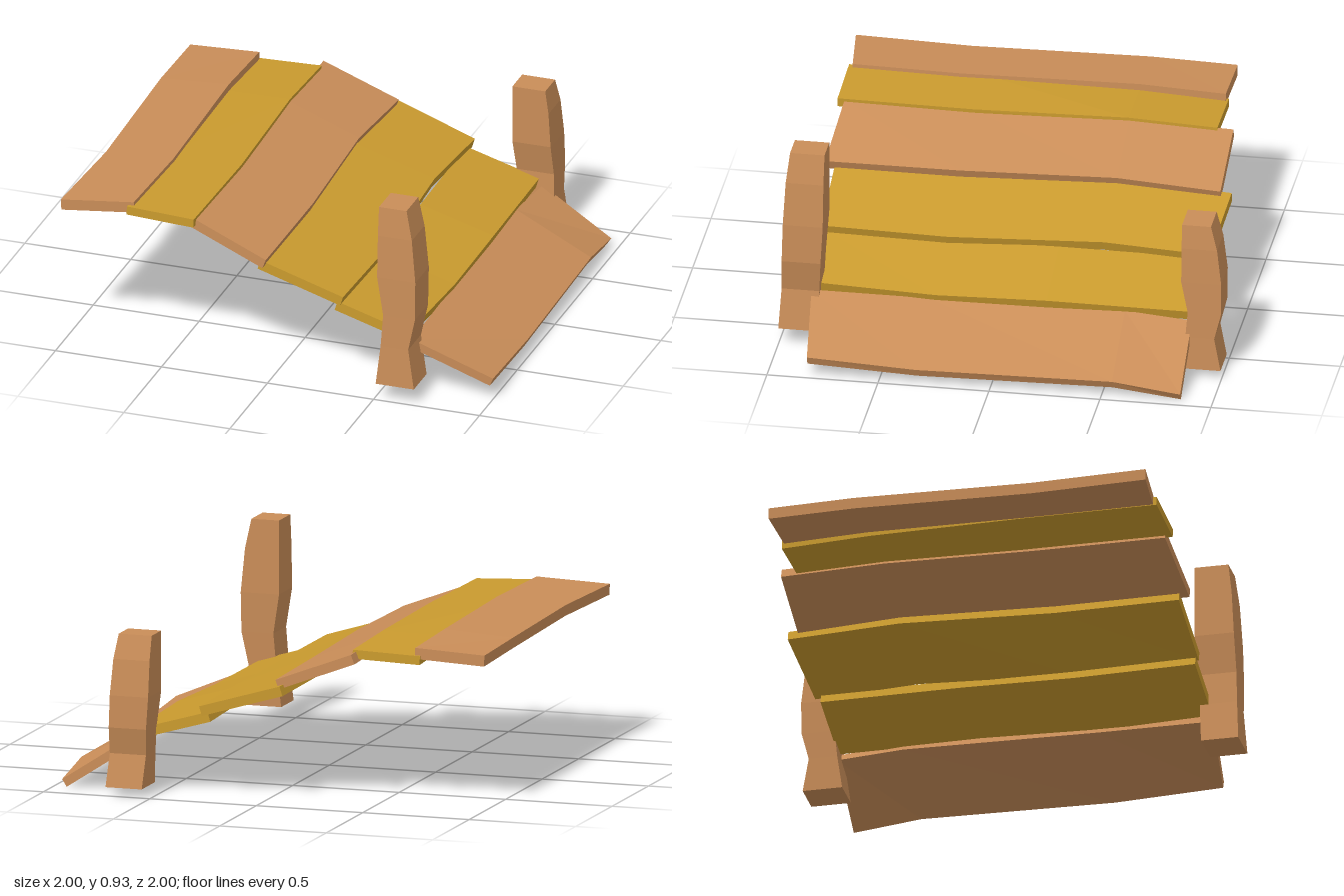
import * as THREE from 'three';

const BROWN = 0xc98d58, GOLD = 0xc99a2e;

// Loft through four-cornered rings, closed at both ends, with flat facets
function loft(name, rings, color) {
  const pos = [];
  const quad = (a, b, c, d) => pos.push(...a, ...b, ...c, ...a, ...c, ...d);
  for (let i = 0; i < rings.length - 1; i++) {
    for (let j = 0; j < 4; j++) {
      const k = (j + 1) % 4;
      quad(rings[i][j], rings[i][k], rings[i + 1][k], rings[i + 1][j]);
    }
  }
  const s = rings[0], e = rings[rings.length - 1];
  quad(s[0], s[3], s[2], s[1]);
  quad(e[0], e[1], e[2], e[3]);
  const geo = new THREE.BufferGeometry();
  geo.setAttribute('position', new THREE.Float32BufferAttribute(pos, 3));
  geo.computeVertexNormals();
  const mesh = new THREE.Mesh(geo, new THREE.MeshStandardMaterial({ color, flatShading: true }));
  mesh.name = name;
  return mesh;
}

// Plank from its top edges: each station is [zLeft, zRight, xLeft, yLeft, xRight, yRight]
function plank(name, color, thickness, stations) {
  return loft(name, stations.map(([zl, zr, xl, yl, xr, yr]) => {
    const len = Math.hypot(xr - xl, yr - yl);
    const nx = (yr - yl) / len * thickness, ny = -(xr - xl) / len * thickness;
    return [[xl + nx, yl + ny, zl], [xr + nx, yr + ny, zr], [xr, yr, zr], [xl, yl, zl]];
  }), color);
}

const PLANKS = [
  [BROWN, 0.05, [
    [-0.79, -0.79, -1.0, 0.71, -0.675, 0.725], [-0.4, -0.4, -1.0, 0.72, -0.68, 0.74],
    [0.4, 0.4, -0.975, 0.72, -0.655, 0.74], [0.93, 0.89, -1.0, 0.72, -0.67, 0.74]]],
  [GOLD, 0.04, [
    [-0.8, -0.8, -0.7, 0.69, -0.385, 0.70], [-0.4, -0.4, -0.7, 0.71, -0.39, 0.715],
    [0.3, 0.3, -0.69, 0.725, -0.37, 0.71], [0.91, 0.91, -0.695, 0.725, -0.38, 0.71]]],
  [BROWN, 0.045, [
    [-0.87, -0.87, -0.4, 0.69, -0.045, 0.555], [-0.4, -0.4, -0.4, 0.705, -0.065, 0.575],
    [0.3, 0.3, -0.39, 0.70, -0.035, 0.57], [0.88, 0.91, -0.39, 0.70, -0.04, 0.565]]],
  [GOLD, 0.045, [
    [-0.915, -0.88, -0.08, 0.535, 0.31, 0.415], [-0.4, -0.4, -0.1, 0.55, 0.29, 0.43],
    [0.3, 0.3, -0.07, 0.54, 0.32, 0.415], [0.87, 0.87, -0.08, 0.54, 0.31, 0.42]]],
  [GOLD, 0.045, [
    [-0.85, -0.85, 0.28, 0.385, 0.625, 0.285], [-0.2, -0.2, 0.295, 0.395, 0.64, 0.295],
    [0.3, 0.3, 0.29, 0.385, 0.635, 0.28], [0.86, 0.86, 0.28, 0.39, 0.615, 0.29]]],
  [BROWN, 0.04, [
    [-0.855, -0.855, 0.64, 0.25, 0.962, 0.04], [-0.55, -0.55, 0.62, 0.265, 0.975, 0.085],
    [0.33, 0.33, 0.62, 0.255, 0.99, 0.08], [0.86, 0.82, 0.63, 0.26, 1.0, 0.107]]],
];

// Crooked square post, standing on its own origin: [y, x0, x1, z0, z1]
const POST = [
  [0, -0.09, 0.09, -0.07, 0.1], [0.185, -0.07, 0.06, -0.08, 0.09],
  [0.335, -0.06, 0.09, -0.09, 0.085], [0.515, -0.09, 0.09, -0.1, 0.08],
  [0.715, -0.09, 0.07, -0.1, 0.07], [0.85, -0.09, 0.04, -0.1, 0.055],
];

function post(name) {
  return loft(name, POST.map(([y, x0, x1, z0, z1]) =>
    [[x0, y, z1], [x1, y, z1], [x1, y, z0], [x0, y, z0]]), BROWN);
}

export function createModel() {
  const model = new THREE.Group();
  model.name = 'plankWalkway';

  // Overlapping planks descending toward +x
  PLANKS.forEach(([color, t, stations], i) => model.add(plank('plank' + (i + 1), color, t, stations)));

  // Tall front post and the shorter back post, a quarter turn round
  const front = post('frontPost');
  front.position.set(0.6, 0.085, 0.9);
  const back = post('backPost');
  back.position.set(0.61, 0.045, -0.905);
  back.rotation.y = Math.PI / 2;
  back.scale.y = 0.81;
  model.add(front, back);
  return model;
}
